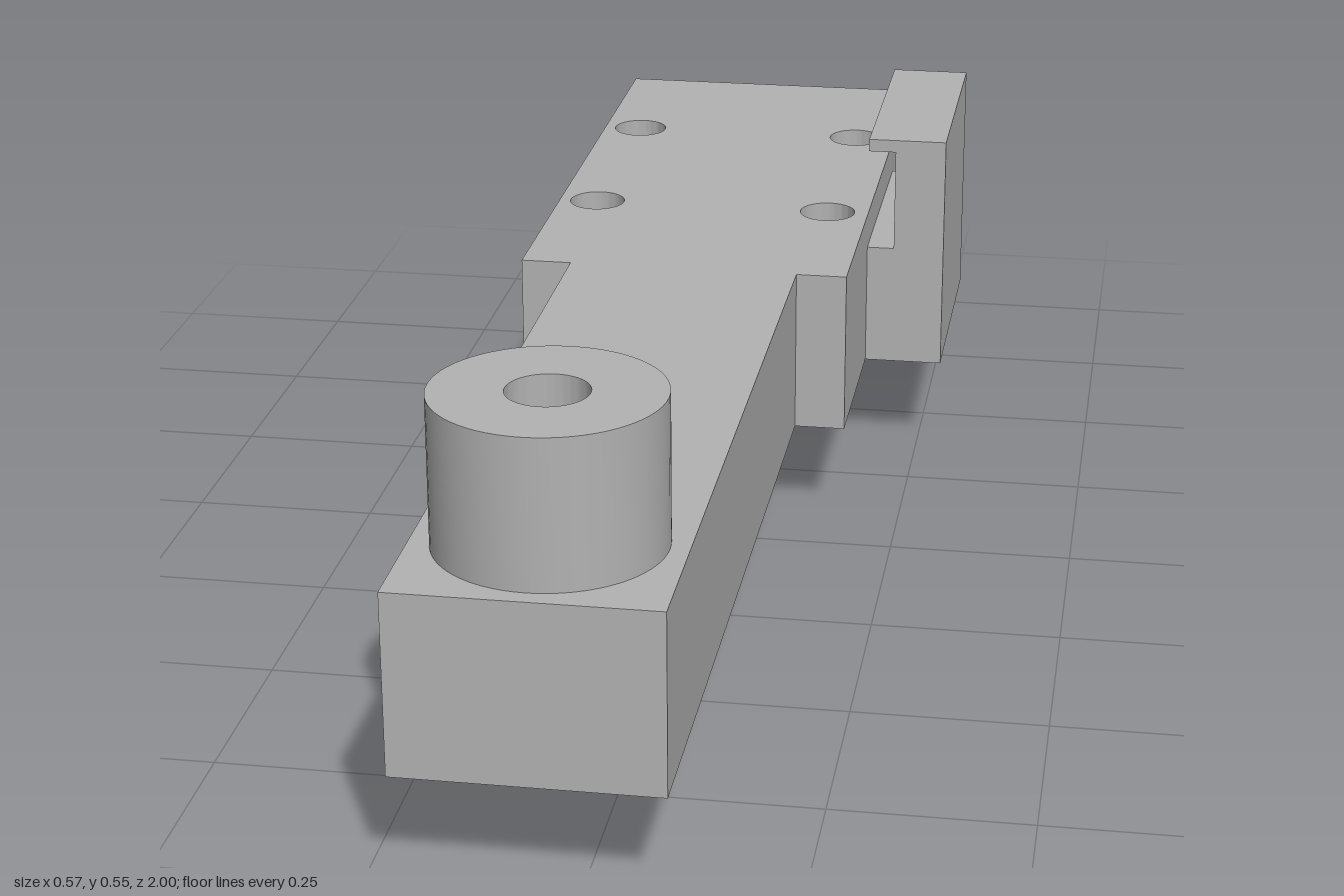
import * as THREE from 'three';
import { toCreasedNormals } from 'three/addons/utils/BufferGeometryUtils.js';

const BOTTOM = 0.14, TOP = 0.368;
const BOSS = { x: -0.057, z: 0.84 };

// Closed shape from a list of corner points
const outline = (pts) => new THREE.Shape(pts.map(([x, y]) => new THREE.Vector2(x, y)));

// Round hole at plan position (x, z)
function hole(x, z, r) {
  const path = new THREE.Path();
  path.absarc(x, -z, r, 0, Math.PI * 2, true);
  return path;
}

function extrude(shape, depth) {
  const geo = new THREE.ExtrudeGeometry(shape, { depth, bevelEnabled: false, curveSegments: 32 });
  return toCreasedNormals(geo, 0.6);
}

// Extrude a plan outline (x, -z) upward from y0 to y1
const extrudeUp = (shape, y0, y1) =>
  extrude(shape, y1 - y0).rotateX(-Math.PI / 2).translate(0, y0, 0);

export function createModel() {
  const group = new THREE.Group();
  const grey = new THREE.MeshStandardMaterial({ color: 0xb2b2b2 });
  grey.name = 'grey';
  const add = (name, geo) => {
    const mesh = new THREE.Mesh(geo, grey);
    mesh.name = name;
    group.add(mesh);
  };

  // Wide mounting plate and narrower arm, with bolt holes
  const plan = outline([
    [-0.217, -1], [0.103, -1], [0.103, 0.083], [0.173, 0.083],
    [0.173, 1], [-0.287, 1], [-0.287, 0.083], [-0.217, 0.083],
  ]);
  for (const x of [-0.231, 0.113])
    for (const z of [-0.728, -0.36]) plan.holes.push(hole(x, z, 0.04));
  plan.holes.push(hole(BOSS.x, BOSS.z, 0.033));
  add('bodyPlate', extrudeUp(plan, BOTTOM, TOP));

  // Hollow round boss at the front end of the arm
  const ring = new THREE.Shape();
  ring.absarc(BOSS.x, -BOSS.z, 0.137, 0, Math.PI * 2, false);
  ring.holes.push(hole(BOSS.x, BOSS.z, 0.049));
  add('boss', extrudeUp(ring, TOP, 0.552));

  // Keel under the arm
  add('keel', new THREE.BoxGeometry(0.091, BOTTOM, 0.734).translate(-0.0575, BOTTOM / 2, 0.292));

  // Side hook with a slot under its lip
  const hook = outline([
    [0.173, BOTTOM], [0.285, BOTTOM], [0.285, 0.483], [0.173, 0.483],
    [0.173, 0.465], [0.212, 0.465], [0.212, 0.317], [0.173, 0.317],
  ]);
  add('sideHook', extrude(hook, 0.368).translate(0, 0, -0.725));

  return group;
}
